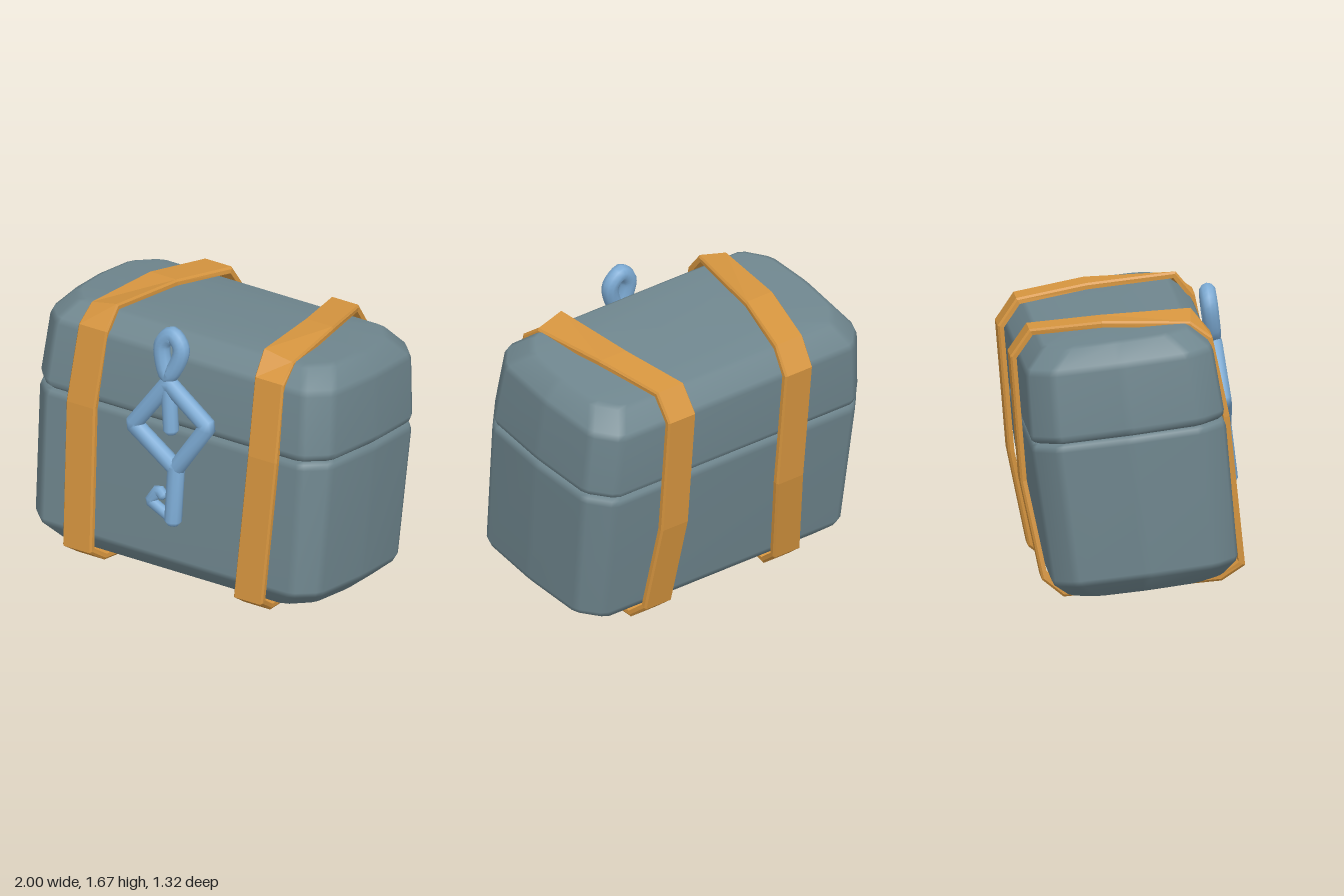
import * as THREE from 'three';

const V = (x, y, z = 0) => new THREE.Vector3(x, y, z);
const mat = (name, color) => {
  const m = new THREE.MeshStandardMaterial({ color });
  m.name = name;
  return m;
};

// Skin a list of equal-sized rings, each counter-clockwise around the direction of travel
function loft(rings, closed = false) {
  const n = rings[0].length, R = rings.length, pts = rings.flat(), idx = [];
  for (let i = 0; i < (closed ? R : R - 1); i++) {
    for (let j = 0; j < n; j++) {
      const k = (j + 1) % n, i2 = (i + 1) % R;
      const a = i * n + j, b = i * n + k, c = i2 * n + k, d = i2 * n + j;
      idx.push(a, b, c, a, c, d);
    }
  }
  if (!closed) {
    const mid = r => r.reduce((s, p) => s.add(p), V(0, 0, 0)).divideScalar(n);
    const s = pts.length, base = (R - 1) * n;
    pts.push(mid(rings[0]), mid(rings[R - 1]));
    for (let j = 0; j < n; j++) {
      const k = (j + 1) % n;
      idx.push(s, k, j, s + 1, base + j, base + k);
    }
  }
  const g = new THREE.BufferGeometry().setFromPoints(pts);
  g.setIndex(idx);
  g.computeVertexNormals();
  return g;
}

// Replace each corner of a path with two points close to it
function bevel(pts, b, closed) {
  const n = pts.length;
  return pts.flatMap((p, i) => {
    if (!closed && (i === 0 || i === n - 1)) return [p.clone()];
    return [pts[(i + n - 1) % n], pts[(i + 1) % n]].map(q => {
      const d = q.clone().sub(p);
      return p.clone().addScaledVector(d, Math.min(0.4, b / d.length()));
    });
  });
}

// Eight-cornered plan outline: front half width, side half width, depth, side depth
function outline([y, fx, hx, d, c]) {
  const pts = [
    V(fx, y, d), V(hx, y, c), V(hx + 0.02, y, 0), V(hx, y, -c), V(fx, y, -d),
    V(-fx, y, -d), V(-hx, y, -c), V(-hx - 0.02, y, 0), V(-hx, y, c), V(-fx, y, d),
  ];
  return bevel(pts, 0.025, true);
}

// Shell from outlines, softening the edges between levels
function shell(levels) {
  const rings = levels.map(outline), out = [];
  rings.forEach((r, i) => {
    if (i === 0 || i === rings.length - 1) { out.push(r); return; }
    for (const o of [rings[i - 1], rings[i + 1]]) {
      const t = Math.min(0.35, 0.022 / r[0].distanceTo(o[0]));
      out.push(r.map((p, j) => p.clone().lerp(o[j], t)));
    }
  });
  return loft(out);
}

// Round bar along a flat path with mitred corners
function bar(path, radius, closed = false) {
  const n = path.length;
  const dir = (a, b) => b.clone().sub(a).normalize();
  const ring = (p, N, r, scale) => Array.from({ length: 10 }, (_, j) => {
    const a = j / 10 * Math.PI * 2;
    return p.clone().addScaledVector(N, r * scale * Math.cos(a)).add(V(0, 0, r * Math.sin(a)));
  });
  const rings = [];
  path.forEach((p, i) => {
    const first = !closed && i === 0, last = !closed && i === n - 1;
    const t2 = last ? dir(path[i - 1], p) : dir(p, path[(i + 1) % n]);
    const t1 = first ? t2 : dir(path[(i + n - 1) % n], p);
    const t = t1.clone().add(t2).normalize(), N = V(-t.y, t.x);
    const scale = Math.min(1.5, 1 / Math.max(0.3, t.dot(t1)));
    if (first) rings.push(ring(p.clone().addScaledVector(t, -radius * 0.5), N, radius * 0.6, 1));
    rings.push(ring(p, N, radius, scale));
    if (last) rings.push(ring(p.clone().addScaledVector(t, radius * 0.5), N, radius * 0.6, 1));
  });
  return loft(rings, closed);
}

// Strap loop points: z, y, offset on the -x side, offset on the +x side, roll
const STRAP = [
  [0.65, 0.19, 0.56, 0.585, 0], [0.52, 0.10, 0.545, 0.565, 0],
  [-0.36, 0.005, 0.455, 0.495, 0], [-0.48, 0.10, 0.44, 0.48, 0],
  [-0.595, 0.65, 0.375, 0.45, 0], [-0.655, 1.37, 0.39, 0.445, 0],
  [-0.55, 1.525, 0.40, 0.45, 0], [-0.15, 1.585, 0.505, 0.54, 0],
  [0.35, 1.61, 0.57, 0.595, 0.02], [0.465, 1.5, 0.575, 0.605, 0],
  [0.56, 1.05, 0.595, 0.62, 0],
];

function strap(side) {
  const n = STRAP.length;
  // width, depth below the outer face
  const section = [[0.087, 0], [-0.087, 0], [-0.096, 0.012], [-0.096, 0.035], [0.096, 0.035], [0.096, 0.012]];
  const at = i => V(0, STRAP[(i + n) % n][1], STRAP[(i + n) % n][0]);
  const normal = (a, b) => b.clone().sub(a).normalize().cross(V(1, 0, 0));
  const rings = STRAP.map((s, i) => {
    const n1 = normal(at(i - 1), at(i)), n2 = normal(at(i), at(i + 1));
    const N = n1.clone().add(n2).divideScalar(1 + n1.dot(n2));
    const cx = side < 0 ? -s[2] : s[3];
    return section.map(([w, d]) =>
      at(i).addScaledVector(N, -d - side * Math.sign(w) * s[4]).add(V(cx + w, 0, 0)));
  });
  const g = loft(rings, true).toNonIndexed();
  g.computeVertexNormals();
  return g;
}

export function createModel() {
  const model = new THREE.Group();
  model.name = 'chest';
  const slate = mat('slate', 0x6f868e);
  const orange = mat('orange', 0xd6953f);
  const blue = mat('blue', 0x7caad3);
  const add = (parent, name, geometry, material) => {
    const m = new THREE.Mesh(geometry, material);
    m.name = name;
    parent.add(m);
  };

  // Box and lid lean backwards together
  const leaning = new THREE.Group();
  leaning.name = 'leaningChest';
  leaning.position.y = 0.81;
  leaning.rotation.x = -0.12;
  model.add(leaning);
  add(leaning, 'base', shell([
    [-0.727, 0.4, 0.45, 0.22, 0.15], [-0.718, 0.74, 0.85, 0.425, 0.28],
    [-0.615, 0.84, 0.955, 0.525, 0.4], [0.175, 0.855, 0.98, 0.55, 0.41],
    [0.2, 0.83, 0.955, 0.525, 0.39],
  ]), slate);
  add(leaning, 'lid', shell([
    [0.2, 0.83, 0.955, 0.525, 0.39], [0.225, 0.855, 0.98, 0.55, 0.41],
    [0.605, 0.83, 0.955, 0.53, 0.39], [0.725, 0.75, 0.86, 0.41, 0.27],
    [0.737, 0.4, 0.45, 0.22, 0.15],
  ]), slate);

  // Two wrapping straps
  add(model, 'rightStrap', strap(-1), orange);
  add(model, 'leftStrap', strap(1), orange);

  // Key-shaped ornament on the front
  const key = new THREE.Group();
  key.name = 'key';
  key.position.set(0, -0.88, 0.585);
  leaning.add(key);
  const loop = new THREE.CatmullRomCurve3([
    V(-0.03, 1.385), V(0.03, 1.48), V(0.042, 1.57), V(-0.02, 1.63),
    V(-0.08, 1.57), V(-0.075, 1.48),
  ], true).getPoints(24).slice(0, -1);
  add(key, 'keyLoop', bar(loop, 0.048, true), blue);
  const diamond = [V(-0.025, 1.34), V(0.255, 1.15), V(0.065, 0.85), V(-0.235, 1.04)];
  add(key, 'keyDiamond', bar(bevel(diamond, 0.02, true), 0.05, true), blue);
  add(key, 'keyPointer', bar([V(-0.025, 1.34), V(0.015, 1.065)], 0.045), blue);
  add(key, 'keyShaft', bar([V(0.065, 0.86), V(0.07, 0.535)], 0.05), blue);
  const hook = [V(0.075, 0.54), V(-0.09, 0.615), V(-0.04, 0.695), V(-0.005, 0.665)];
  add(key, 'keyHook', bar(bevel(hook, 0.015, false), 0.032), blue);

  return model;
}
